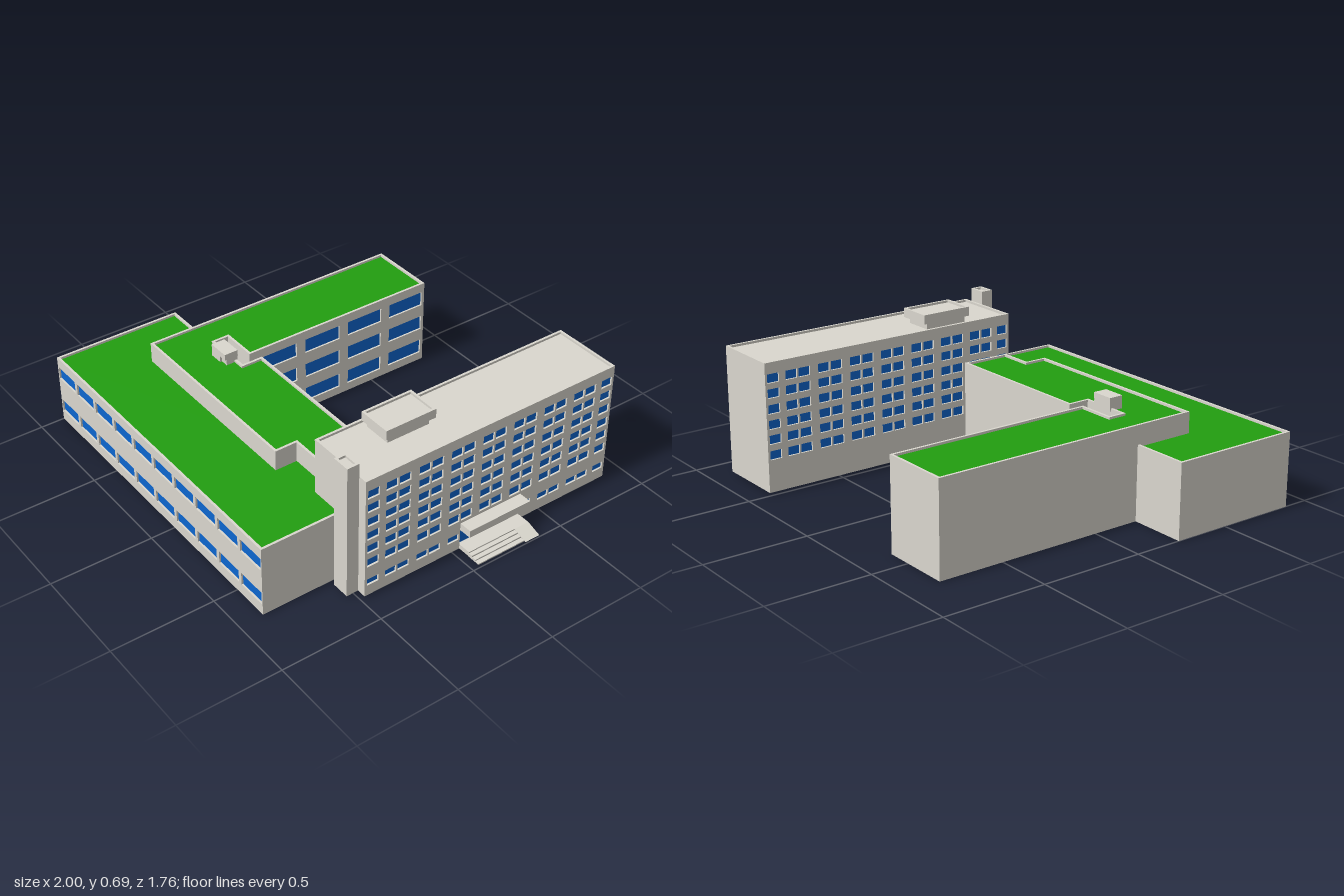
import * as THREE from 'three';

const material = (color) => new THREE.MeshStandardMaterial({ color, flatShading: true, side: THREE.DoubleSide });
const RIM = 0.012; // parapet thickness and depth, also window recess

export function createModel() {
  const model = new THREE.Group();
  const wall = material(0xdad7ce);
  const grass = material(0x229e10);
  const glass = material(0x0d66d0);

  function add(name, geometry, mat = wall) {
    const mesh = new THREE.Mesh(geometry, mat);
    mesh.name = name;
    model.add(mesh);
    return mesh;
  }

  function box(name, x0, x1, y0, y1, z0, z1, mat = wall) {
    add(name, new THREE.BoxGeometry(x1 - x0, y1 - y0, z1 - z0), mat)
      .position.set((x0 + x1) / 2, (y0 + y1) / 2, (z0 + z1) / 2);
  }

  // Plan outlines are [x, z] corners; shapes use y = -z
  const rect = (x0, x1, z0, z1) => [[x0, z0], [x1, z0], [x1, z1], [x0, z1]];
  const toPlan = (outline) => {
    const pts = outline.map(([x, z]) => new THREE.Vector2(x, -z));
    return THREE.ShapeUtils.area(pts) < 0 ? pts.reverse() : pts;
  };
  const inset = (pts, t) => pts.map((p, i) => {
    const before = p.clone().sub(pts[(i + pts.length - 1) % pts.length]).normalize();
    const after = pts[(i + 1) % pts.length].clone().sub(p).normalize();
    return new THREE.Vector2(p.x - t * (before.y + after.y), p.y + t * (before.x + after.x));
  });
  const raise = (shape, y0, y1) =>
    new THREE.ExtrudeGeometry(shape, { depth: y1 - y0, bevelEnabled: false }).rotateX(-Math.PI / 2).translate(0, y0, 0);

  // Block with a raised parapet around a sunken roof; body may be set back behind window walls
  function block(name, outline, y0, top, roofMat, body = outline) {
    const pts = toPlan(outline);
    const inner = inset(pts, RIM);
    add(name + 'Body', raise(new THREE.Shape(toPlan(body)), y0, top - RIM));
    const rim = new THREE.Shape(pts);
    rim.holes.push(new THREE.Path(inner));
    add(name + 'Parapet', raise(rim, top - RIM, top));
    const roof = new THREE.ShapeGeometry(new THREE.Shape(inner)).rotateX(-Math.PI / 2);
    add(name + 'Roof', roof.translate(0, top - RIM + 0.001, 0), roofMat);
  }

  // Wall panel pierced by windows [u, v, width, height], with glazing behind
  function facade(name, u0, u1, v0, v1, windows, angle, x, z) {
    const panel = new THREE.Shape([[u0, v0], [u1, v0], [u1, v1], [u0, v1]].map((p) => new THREE.Vector2(...p)));
    for (const [u, v, w, h] of windows) {
      panel.holes.push(new THREE.Path([[-1, -1], [-1, 1], [1, 1], [1, -1]]
        .map(([a, b]) => new THREE.Vector2(u + a * w / 2, v + b * h / 2))));
    }
    const group = new THREE.Group();
    group.name = name;
    const front = new THREE.Mesh(new THREE.ExtrudeGeometry(panel, { depth: RIM, bevelEnabled: false }), wall);
    front.name = name + 'Wall';
    const pane = new THREE.Mesh(new THREE.PlaneGeometry(u1 - u0 - 0.004, v1 - v0 - 0.004), glass);
    pane.name = name + 'Glazing';
    pane.position.set((u0 + u1) / 2, (v0 + v1) / 2, 0.003);
    group.add(front, pane);
    group.rotation.y = angle;
    group.position.set(x, 0, z);
    model.add(group);
  }

  // Low front block with two rows of ten windows
  block('lowBlock', rect(-1, 0.69, 0.23, 0.88), 0, 0.355, grass, rect(-1, 0.69, 0.23, 0.88 - RIM));
  const lowWindows = [];
  for (let i = 0; i < 10; i++) {
    for (const v of [0.086, 0.272]) lowWindows.push([-0.917 + i * 0.1695, v, 0.15, 0.064]);
  }
  facade('lowBlockFront', -1, 0.69, 0, 0.355 - RIM, lowWindows, 0, 0, 0.88 - RIM);

  // Upper block and long rear wing
  const upperOutline = (wingX) => [
    [-0.725, -0.82], [wingX, -0.82], [wingX, 0.21], [-0.56, 0.21], [-0.56, 0.28], [-0.33, 0.28],
    [-0.33, 0.175], [0.455, 0.175], [0.455, 0.42], [0.29, 0.42], [0.29, 0.53], [-0.725, 0.53],
  ];
  block('upperBlock', upperOutline(-0.38), 0, 0.445, grass, upperOutline(-0.38 - RIM));
  const wingWindows = [];
  for (let i = 0; i < 4; i++) {
    for (const v of [0.08, 0.22, 0.36]) wingWindows.push([0.705 - i * 0.25, v, 0.2, 0.075]);
  }
  facade('wingSide', -0.21, 0.82, 0, 0.445 - RIM, wingWindows, Math.PI / 2, -0.38 - RIM, 0);

  // Small roof hut with a notch at one lower corner
  const hut = new THREE.Shape([[-0.487, 0.43], [-0.42, 0.43], [-0.42, 0.465], [-0.378, 0.465], [-0.378, 0.495], [-0.487, 0.495]]
    .map((p) => new THREE.Vector2(...p)));
  add('roofHut', new THREE.ExtrudeGeometry(hut, { depth: 0.07, bevelEnabled: false })).position.z = 0.275;
  box('roofHutDoor', -0.42, -0.38, 0.43, 0.465, 0.275, 0.335);

  // Tower with paired windows on both long sides
  block('tower', rect(0.51, 0.86, -0.885, 0.48), 0.01, 0.625, wall, rect(0.51 + RIM, 0.86 - RIM, -0.885, 0.48));
  const columns = [0.438, -0.844];
  for (let i = 0; i < 7; i++) columns.push(0.344 - i * 0.171, 0.276 - i * 0.171);
  const rows = [0.187, 0.261, 0.332, 0.405, 0.479, 0.55];
  const towerWindows = (side) => columns.flatMap((z) => rows.map((v) => [side * z, v, 0.06, 0.043]));
  const groundWindows = columns.filter((z) => z > -0.03 || z < -0.38).map((z) => [-z, 0.081, 0.06, 0.034]);
  const entrance = [0.2035, 0.074, 0.335, 0.08];
  facade('towerLeftSide', -0.48, 0.885, 0.01, 0.625 - RIM,
    [...towerWindows(-1), ...groundWindows, entrance], Math.PI / 2, 0.86 - RIM, 0);
  facade('towerRightSide', -0.885, 0.48, 0.01, 0.625 - RIM, towerWindows(1), -Math.PI / 2, 0.51 + RIM, 0);

  // Shaft on the tower front and plant room on its roof
  block('shaft', rect(0.725, 0.815, 0.48, 0.54), 0.01, 0.69, wall);
  box('plantRoomNeck', 0.555, 0.695, 0.61, 0.645, 0.025, 0.245);
  block('plantRoom', rect(0.54, 0.71, 0, 0.262), 0.645, 0.69, wall);

  // Entrance canopy, landing, steps and ramp
  box('canopy', 0.86, 0.925, 0.115, 0.152, -0.375, -0.035);
  box('landing', 0.86, 0.925, 0.01, 0.034, -0.375, -0.035);
  for (let i = 0; i < 3; i++) {
    box('step', 0.925, 0.947 + i * 0.022, 0.008, 0.028 - i * 0.007, -0.295, -0.035);
  }
  const ramp = new THREE.Shape([[0.925, 0.01], [1, 0.01], [0.925, 0.034]].map((p) => new THREE.Vector2(...p)));
  add('ramp', new THREE.ExtrudeGeometry(ramp, { depth: 0.08, bevelEnabled: false })).position.z = -0.375;

  return model;
}
